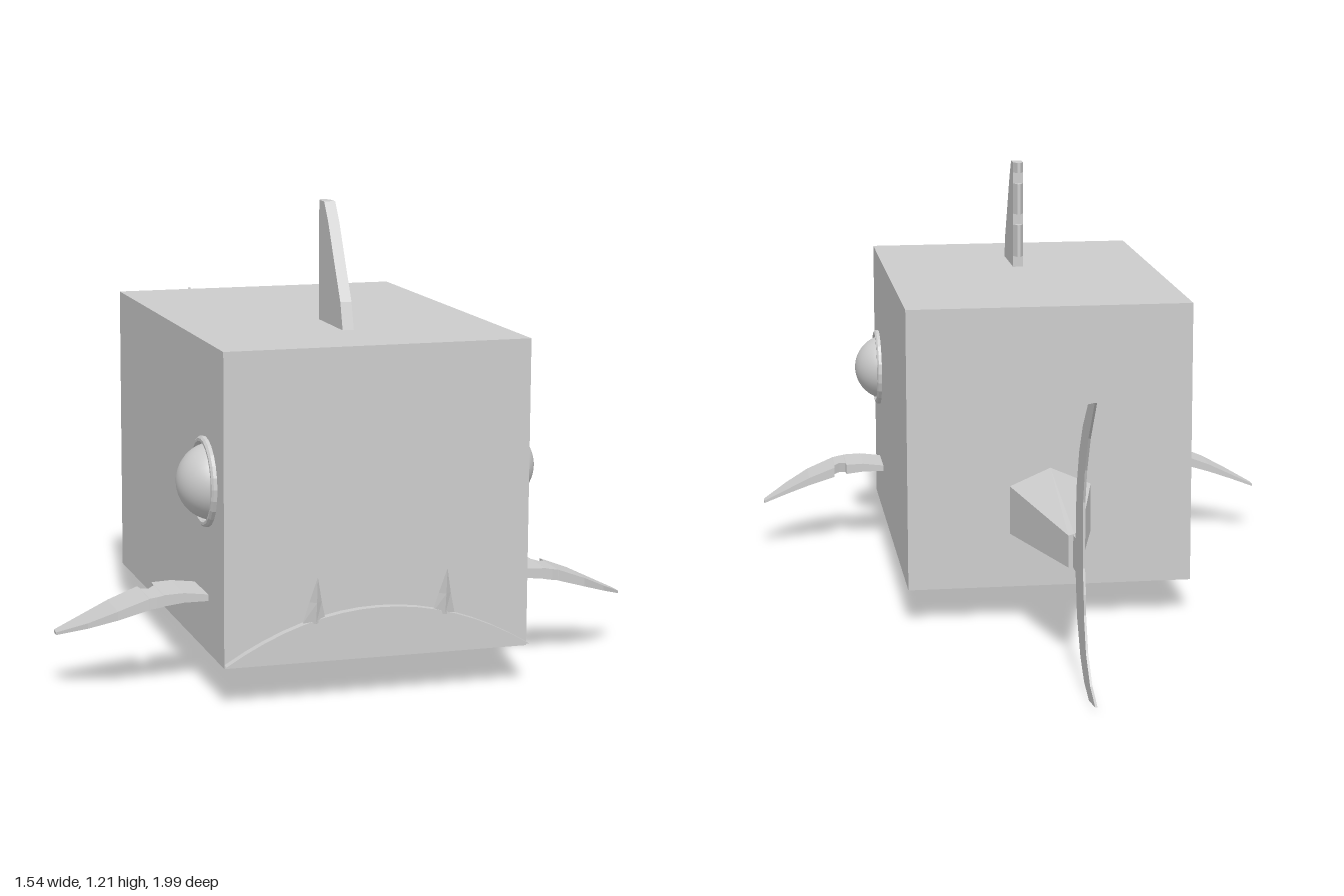
import * as THREE from 'three';

const flat = new THREE.MeshStandardMaterial({ color: 0xcccccc, flatShading: true });
const smooth = new THREE.MeshStandardMaterial({ color: 0xcccccc });

function part(parent, name, geometry, material = flat) {
  const mesh = new THREE.Mesh(geometry, material);
  mesh.name = name;
  parent.add(mesh);
  return mesh;
}

// Skin a row of rings; each ring runs counter-clockwise around the row's direction
function loft(rings) {
  const pos = [];
  const tri = (a, b, c) => pos.push(...a, ...b, ...c);
  const n = rings[0].length;
  for (let k = 0; k < rings.length - 1; k++) {
    for (let i = 0; i < n; i++) {
      const j = (i + 1) % n, a = rings[k], b = rings[k + 1];
      tri(a[i], a[j], b[j]);
      tri(a[i], b[j], b[i]);
    }
  }
  const first = rings[0], last = rings[rings.length - 1];
  for (let i = 1; i < n - 1; i++) {
    tri(first[0], first[i + 1], first[i]);
    tri(last[0], last[i], last[i + 1]);
  }
  const g = new THREE.BufferGeometry();
  g.setAttribute('position', new THREE.Float32BufferAttribute(pos, 3));
  g.computeVertexNormals();
  return g;
}

// Plate in the centre plane, from a [z, y] outline
function sidePlate(outline, thickness) {
  const shape = new THREE.Shape(outline.map(([z, y]) => new THREE.Vector2(z, y)));
  const g = new THREE.ExtrudeGeometry(shape, { depth: thickness, bevelEnabled: false });
  g.translate(0, 0, -thickness / 2);
  g.rotateY(-Math.PI / 2);
  return g;
}

export function createModel() {
  const fish = new THREE.Group();
  fish.name = 'boxFish';

  // Box body
  const body = part(fish, 'body', new THREE.BoxGeometry(0.8, 0.795, 1.145));
  body.position.set(0, 0.4975, 0.3825);

  // Lower lip: a thin arched plate on the face
  const lip = new THREE.Shape();
  lip.moveTo(-0.4, 0.11);
  lip.lineTo(0.4, 0.11);
  lip.quadraticCurveTo(0.2, 0.235, 0, 0.235);
  lip.quadraticCurveTo(-0.2, 0.235, -0.4, 0.11);
  part(fish, 'lowerLip', new THREE.ExtrudeGeometry(lip, { depth: 0.023, bevelEnabled: false, curveSegments: 8 }))
    .position.z = 0.954;

  // Teeth: spikes leaning forward, [y, half width, back z, front z]
  const toothRows = [[0.205, 0.03, 0.95, 0.98], [0.26, 0.016, 0.962, 0.987], [0.325, 0.0005, 0.992, 0.993]];
  for (const s of [-1, 1]) {
    const rings = toothRows.map(([y, w, back, front]) => {
      const x = s * 0.17, mid = (back + front) / 2;
      return [[x, y, front], [x + w, y, mid], [x, y, back], [x - w, y, mid]];
    });
    part(fish, s > 0 ? 'leftTooth' : 'rightTooth', loft(rings));
  }

  // Eyes: a bulging ball in a low rim
  const rim = [[0.098, -0.01], [0.115, -0.01], [0.115, 0.009], [0.11, 0.014], [0.103, 0.014], [0.098, 0.008], [0.098, -0.01]]
    .map(([r, h]) => new THREE.Vector2(r, h));
  for (const s of [-1, 1]) {
    const eye = new THREE.Group();
    eye.name = s > 0 ? 'leftEye' : 'rightEye';
    eye.position.set(s * 0.4, 0.54, 0.78);
    eye.rotation.z = -s * Math.PI / 2;
    part(eye, 'eyeball', new THREE.SphereGeometry(0.1, 32, 24), smooth).position.y = -0.025;
    part(eye, 'eyeRim', new THREE.LatheGeometry(rim, 24));
    fish.add(eye);
  }

  // Side fins: drooping blades with a notch, [x, back z, front z, bottom y, top y]
  const finRows = [
    [0.38, 0.66, 0.8, 0.232, 0.248], [0.4, 0.66, 0.8, 0.235, 0.252], [0.463, 0.66, 0.8, 0.235, 0.26],
    [0.514, 0.66, 0.8, 0.229, 0.258], [0.516, 0.69, 0.8, 0.228, 0.257], [0.533, 0.707, 0.8, 0.225, 0.254],
    [0.55, 0.69, 0.797, 0.222, 0.251], [0.552, 0.66, 0.797, 0.221, 0.25], [0.63, 0.66, 0.785, 0.197, 0.22],
    [0.7, 0.66, 0.75, 0.172, 0.186], [0.77, 0.66, 0.69, 0.145, 0.152],
  ];
  for (const s of [-1, 1]) {
    const rings = finRows.map(([x, back, front, low, high]) => {
      const ring = [[s * x, low, back], [s * x, high, back], [s * x, high, front], [s * x, low, front]];
      return s > 0 ? ring : ring.reverse();
    });
    part(fish, s > 0 ? 'leftFin' : 'rightFin', loft(rings));
  }

  // Dorsal fin with a notched trailing edge that narrows to a wedge
  const dorsal = sidePlate([
    [0.698, 0.89], [0.676, 0.965], [0.623, 1.06], [0.57, 1.158], [0.532, 1.21], [0.49, 1.21],
    [0.466, 1.21], [0.466, 1.18], [0.489, 1.18], [0.489, 1.147], [0.466, 1.147], [0.466, 1.056],
    [0.489, 1.056], [0.489, 1.024], [0.466, 1.024], [0.466, 0.928], [0.489, 0.928], [0.489, 0.89],
  ], 0.03);
  const p = dorsal.attributes.position;
  for (let i = 0; i < p.count; i++) if (p.getZ(i) < 0.48) p.setX(i, p.getX(i) * 0.3);
  dorsal.computeVertexNormals();
  part(fish, 'dorsalFin', dorsal);

  // Tail stalk: tapering, with a ridge on top, [z, half width, bottom, shoulder, ridge]
  const stalkRows = [[-0.185, 0.115, 0.253, 0.39, 0.44], [-0.63, 0.016, 0.277, 0.364, 0.368]];
  part(fish, 'tailStalk', loft(stalkRows.map(([z, w, low, side, top]) =>
    [[-w, low, z], [-w, side, z], [0, top, z], [w, side, z], [w, low, z]])));

  // Tail fin: a thin crescent with a short root
  part(fish, 'tailFin', sidePlate([
    [-0.62, 0.366], [-0.671, 0.366], [-0.682, 0.505], [-0.725, 0.612], [-0.783, 0.693], [-0.864, 0.767],
    [-0.97, 0.794], [-0.874, 0.682], [-0.82, 0.586], [-0.792, 0.495], [-0.792, 0.32], [-0.808, 0.254],
    [-0.812, 0.2], [-0.848, 0.11], [-0.917, 0.045], [-1, 0.017], [-0.9, 0.001], [-0.82, 0.024],
    [-0.757, 0.072], [-0.698, 0.163], [-0.671, 0.277], [-0.62, 0.277],
  ], 0.006));

  return fish;
}
